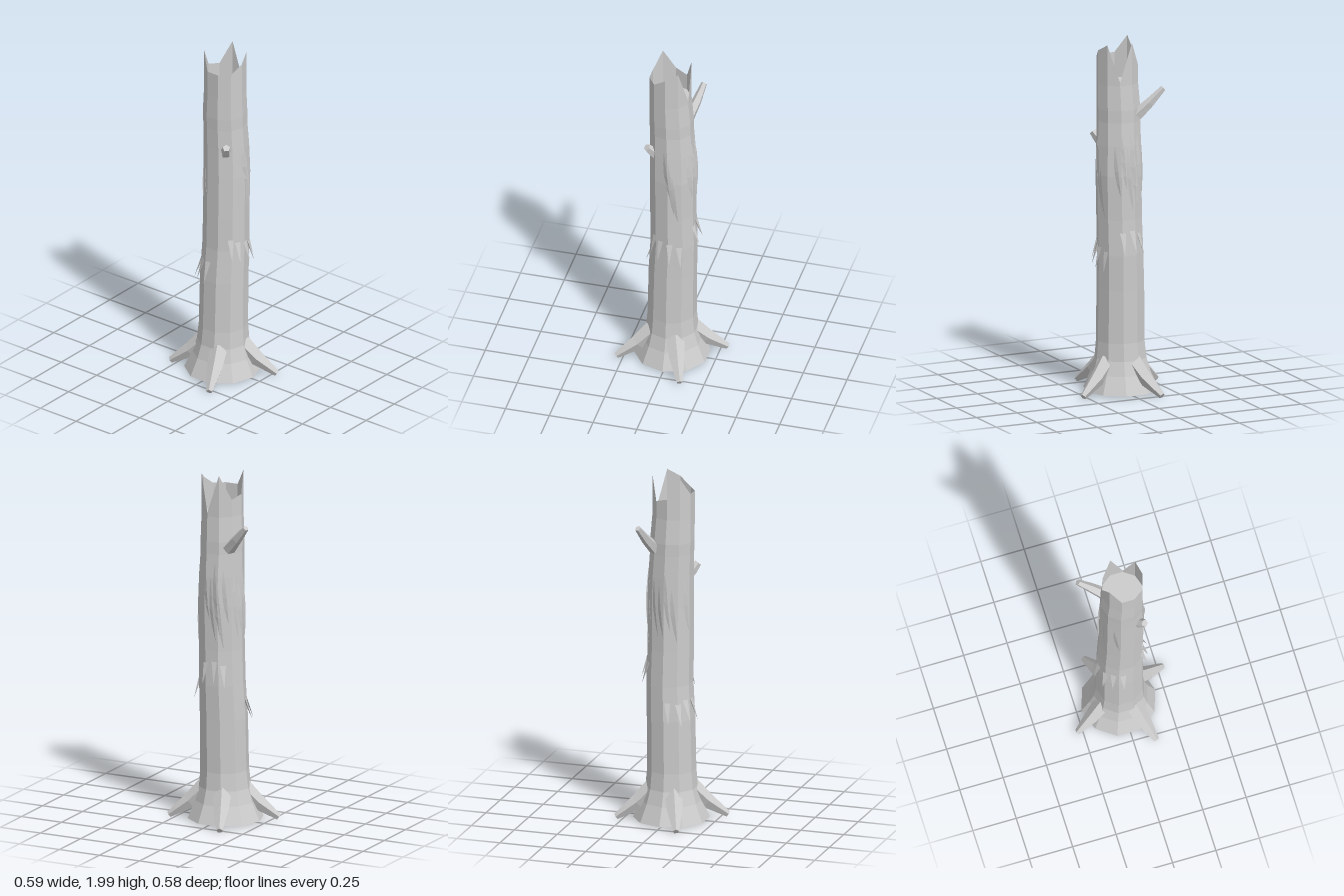
import * as THREE from 'three';

const SIDES = 10;
const V = (x, y, z) => new THREE.Vector3(x, y, z);

// trunk sections: height, centre x, centre z, radius
const SECTIONS = [
  [0.02, 0, -0.01, 0.212],
  [0.12, 0, -0.008, 0.168],
  [0.2, 0, -0.006, 0.145],
  [0.3, 0, -0.004, 0.136],
  [0.6, 0.005, -0.002, 0.134],
  [0.8, 0.013, 0.003, 0.13],
  [1.0, 0.01, 0.008, 0.128],
  [1.25, 0.011, 0.012, 0.129],
  [1.42, 0.008, 0.01, 0.126],
  [1.55, 0.002, 0.008, 0.122],
  [1.62, 0, 0.008, 0.123],
  [1.76, -0.005, 0.012, 0.117],
];
// heights of the broken rim, counted from the front towards +x
const RIM = [1.95, 1.99, 1.78, 2.0, 1.86, 1.88, 2.0, 1.9, 1.9, 1.9];

function build(positions) {
  const geo = new THREE.BufferGeometry();
  geo.setAttribute('position', new THREE.Float32BufferAttribute(positions.flatMap(p => [p.x, p.y, p.z]), 3));
  geo.computeVertexNormals();
  return geo;
}

// skin between rings of equal length, with an optional cap on the last one
function loft(rings, cap = false) {
  const tris = [];
  const n = rings[0].length;
  for (let j = 0; j < rings.length - 1; j++) {
    for (let i = 0; i < n; i++) {
      const k = (i + 1) % n;
      const [a, b, c, d] = [rings[j][i], rings[j][k], rings[j + 1][k], rings[j + 1][i]];
      tris.push(a, b, c, a, c, d);
    }
  }
  const end = rings[rings.length - 1];
  if (cap) for (let i = 1; i < n - 1; i++) tris.push(end[0], end[i], end[i + 1]);
  return build(tris);
}

// tapered limb along a path, with a ridge on its upper side
function limb(points, radii, sides = 5) {
  const last = points.length - 1;
  const rings = points.map((p, j) => {
    const d = points[Math.min(j + 1, last)].clone().sub(points[Math.max(j - 1, 0)]).normalize();
    const u = V(0, 1, 0).addScaledVector(d, -d.y).normalize();
    const w = d.clone().cross(u);
    return Array.from({ length: sides }, (_, i) => {
      const a = (i / sides) * Math.PI * 2;
      return p.clone().addScaledVector(u, Math.cos(a) * radii[j]).addScaledVector(w, Math.sin(a) * radii[j]);
    });
  });
  return loft(rings, true);
}

// point on the faceted trunk, pushed out by a distance
function onTrunk(angle, y, out) {
  let j = 0;
  while (j < SECTIONS.length - 2 && SECTIONS[j + 1][0] < y) j++;
  const [s, e] = [SECTIONS[j], SECTIONS[j + 1]];
  const t = (y - s[0]) / (e[0] - s[0]);
  const [cx, cz, r] = [1, 2, 3].map(i => s[i] + (e[i] - s[i]) * t);
  const step = (Math.PI * 2) / SIDES;
  const local = (((angle % step) + step) % step) - step / 2;
  const d = (r * Math.cos(step / 2)) / Math.cos(local) + out;
  return V(cx + Math.sin(angle) * d, y, cz + Math.cos(angle) * d);
}

export function createModel() {
  const group = new THREE.Group();
  const wood = new THREE.MeshStandardMaterial({ color: 0xcccccc, flatShading: true, side: THREE.DoubleSide });
  wood.name = 'greyWood';
  const add = (name, geo) => {
    const mesh = new THREE.Mesh(geo, wood);
    mesh.name = name;
    group.add(mesh);
  };

  // trunk, open below, with a splintered rim
  const ring = ([y, cx, cz, r], heights) => Array.from({ length: SIDES }, (_, i) => {
    const a = (i / SIDES) * Math.PI * 2;
    return V(cx + Math.sin(a) * r, heights ? heights[i] : y, cz + Math.cos(a) * r);
  });
  const top = SECTIONS[SECTIONS.length - 1];
  add('trunk', loft([...SECTIONS.map(s => ring(s)), ring(top, RIM)]));

  // floor of the hollow top
  const floor = ring(top);
  const fan = [];
  for (let i = 1; i < SIDES - 1; i++) fan.push(floor[0], floor[i], floor[i + 1]);
  add('hollowFloor', build(fan));

  // roots: direction to each tip
  for (const [x, z] of [[0.285, -0.122], [0.118, 0.28], [-0.285, 0.122], [-0.118, -0.28]]) {
    const at = (f, y) => V(x * f, y, z * f);
    add('root', limb([at(0.33, 0.19), at(0.62, 0.105), at(1, 0.024)], [0.055, 0.045, 0.018]));
  }

  // broken branches
  add('upperBranch', limb([V(0.075, 1.58, -0.07), V(0.105, 1.65, -0.135), V(0.13, 1.73, -0.205)], [0.036, 0.028, 0.017]));
  add('lowerBranch', limb([V(-0.06, 1.39, 0.06), V(-0.092, 1.43, 0.087), V(-0.115, 1.465, 0.108)], [0.034, 0.028, 0.021]));

  // peeling bark splinters: angle in degrees, top height
  const splinters = [
    [-40, 0.87], [-21, 0.85], [4, 0.84], [27, 0.82], [73, 0.93], [98, 0.94], [120, 0.92],
    [191, 0.71], [217, 0.7], [238, 0.72], [262, 0.72],
  ];
  for (const [deg, y] of splinters) {
    const a = THREE.MathUtils.degToRad(deg);
    const l = onTrunk(a - 0.13, y, 0.004);
    const r = onTrunk(a + 0.13, y, 0.004);
    const back = onTrunk(a, y - 0.02, -0.004);
    const tip = onTrunk(a + 0.03, y - 0.12, 0.034);
    add('barkSplinter', build([l, tip, r, l, back, tip, back, r, tip]));
  }

  // long curved strips of bark: angle in degrees, top height, length
  const strips = [
    [-8, 1.46, 0.3], [3, 1.4, 0.36], [12, 1.3, 0.3], [55, 1.42, 0.28], [72, 1.48, 0.3], [88, 1.42, 0.36],
    [98, 1.5, 0.4], [108, 1.36, 0.34], [122, 1.46, 0.3], [150, 1.42, 0.34], [166, 1.38, 0.3],
    [182, 1.46, 0.34], [200, 1.36, 0.3], [235, 1.4, 0.28],
  ];
  for (const [deg, y, length] of strips) {
    const tris = [];
    const row = t => {
      const a = THREE.MathUtils.degToRad(deg + 14 * t * t);
      const w = 0.09 * Math.sin(Math.PI * (0.08 + 0.9 * t));
      const h = y - length * t;
      return [onTrunk(a - w, h, 0.001), onTrunk(a + w, h, 0.002 + 0.008 * Math.sin(Math.PI * t))];
    };
    for (let i = 0; i < 4; i++) {
      const [a, b] = row(i / 4);
      const [c, d] = row((i + 1) / 4);
      tris.push(a, c, d, a, d, b);
    }
    add('barkStrip', build(tris));
  }
  return group;
}
